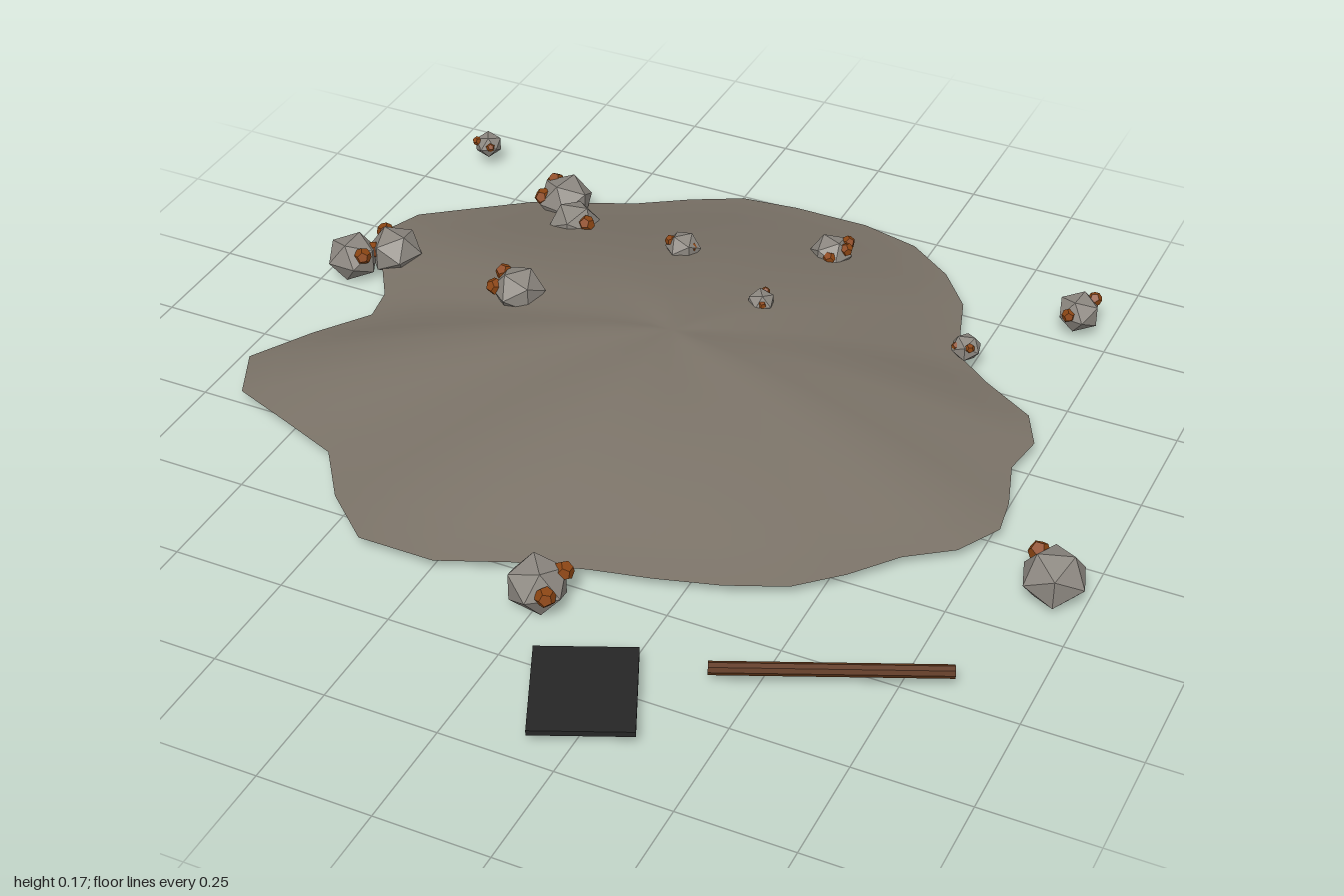
import * as THREE from 'three';

const mat = (name, color, extra = {}) => {
  const m = new THREE.MeshStandardMaterial({ color, ...extra });
  m.name = name;
  return m;
};

// Ragged rim of the spoil heap as [x, z], running round from the back
const RIM = [
  [-0.23, -0.95], [-0.1, -0.965], [0.08, -0.965], [0.22, -0.93], [0.33, -0.85], [0.41, -0.75],
  [0.47, -0.56], [0.56, -0.49], [0.69, -0.41], [0.735, -0.32], [0.72, -0.22], [0.757, -0.1],
  [0.77, -0.01], [0.715, 0.09], [0.62, 0.16], [0.54, 0.26], [0.45, 0.345], [0.325, 0.4],
  [0.19, 0.44], [0.06, 0.47], [-0.09, 0.515], [-0.24, 0.58], [-0.415, 0.58], [-0.53, 0.48],
  [-0.62, 0.355], [-0.76, 0.3], [-0.905, 0.245], [-0.96, 0.125], [-0.88, -0.015], [-0.795, -0.135],
  [-0.81, -0.22], [-0.88, -0.33], [-0.95, -0.44], [-0.905, -0.55], [-0.8, -0.63], [-0.68, -0.72],
  [-0.46, -0.815], [-0.345, -0.89],
];

// Open mound: rings shrink from the rim to the crown, with faint radial folds
function moundGeometry() {
  const cx = -0.08, cz = -0.22, rings = 14, n = RIM.length;
  const pos = [cx, 0.153, cz], index = [];
  for (let r = 1; r <= rings; r++) {
    const t = r / rings;
    RIM.forEach(([x, z]) => {
      const a = Math.atan2(z - cz, x - cx);
      const fold = 0.004 * (Math.sin(3 * a + 1) + Math.sin(5 * a)) * Math.min(1, t * 5) * (1 - t);
      const y = 0.035 + 0.118 * Math.pow(1 - t * t, 1.25) + fold;
      pos.push(cx + (x - cx) * t, y, cz + (z - cz) * t);
    });
  }
  for (let i = 0; i < n; i++) {
    const j = (i + 1) % n;
    index.push(0, 1 + j, 1 + i);
    for (let r = 0; r < rings - 1; r++) {
      const a = 1 + r * n + i, b = 1 + r * n + j;
      index.push(a, b, a + n, b, b + n, a + n);
    }
  }
  const g = new THREE.BufferGeometry();
  g.setAttribute('position', new THREE.Float32BufferAttribute(pos, 3));
  g.setIndex(index);
  g.computeVertexNormals();
  return g;
}

// Rocks: x, y, z, radius, then the [dx, dz] of each ore nugget
const ROCKS = [
  [-0.6, 0.06, -0.73, 0.067, [-0.04, -0.025], [-0.045, 0.03]],
  [-0.53, 0.065, -0.635, 0.062, [0.045, 0.022]],
  [-0.885, 0.062, -0.87, 0.035, [-0.022, 0.018], [0.016, 0.02]],
  [-0.215, 0.125, -0.57, 0.042, [-0.027, 0.01], [0.022, 0.004]],
  [0.08, 0.085, -0.75, 0.05, [0.038, 0], [0.01, 0.034], [0.03, -0.03]],
  [0.67, 0.065, -0.795, 0.052, [0.025, -0.035], [-0.012, 0.036]],
  [0.49, 0.068, -0.55, 0.036, [0.015, 0.02], [-0.018, 0.015]],
  [0.045, 0.138, -0.425, 0.033, [0, -0.024], [0.01, 0.018]],
  [-0.475, 0.128, -0.25, 0.062, [-0.045, -0.017], [-0.047, 0.025]],
  [-0.86, 0.06, -0.36, 0.065, [-0.04, -0.027], [-0.035, 0.035]],
  [-0.935, 0.06, -0.295, 0.063, [0.04, 0.022]],
  [0.93, 0.06, 0.115, 0.073, [-0.045, -0.03]],
  [0, 0.06, 0.58, 0.07, [0.045, -0.03], [0.04, 0.042]],
];

export function createModel() {
  const soil = mat('soil', 0x7a7267, { side: THREE.DoubleSide });
  const stone = mat('stone', 0x8c8780, { flatShading: true });
  const ore = mat('rustyOre', 0x8b4513, { flatShading: true });
  const wood = mat('wood', 0x5c3317, { flatShading: true });
  const iron = mat('darkIron', 0x262626);

  const model = new THREE.Group();
  const add = (name, geometry, material, parent = model) => {
    const mesh = new THREE.Mesh(geometry, material);
    mesh.name = name;
    parent.add(mesh);
    return mesh;
  };

  add('spoilHeap', moundGeometry(), soil);

  // Scattered rocks with ore nuggets stuck to their sides
  const rockGeo = new THREE.IcosahedronGeometry(1, 0);
  const nuggetGeo = new THREE.DodecahedronGeometry(1, 0);
  ROCKS.forEach(([x, y, z, r, ...nuggets], i) => {
    const group = new THREE.Group();
    group.name = 'oreRock';
    group.position.set(x, y, z);
    model.add(group);
    const rock = add('rock', rockGeo, stone, group);
    rock.scale.set(r, r * 0.88, r);
    rock.rotation.y = 1.4 + i * 1.9;
    nuggets.forEach(([dx, dz], k) => {
      const nugget = add('oreNugget', nuggetGeo, ore, group);
      nugget.scale.setScalar(r * 0.32);
      nugget.position.set(dx, r * (k % 2 ? 0.15 : 0.38), dz);
      nugget.rotation.set(i, k, i + k);
    });
  });

  // Discarded shovel: loose handle and flat blade lying at the same angle
  const handle = add('shovelHandle', new THREE.CylinderGeometry(0.014, 0.014, 0.48, 8).rotateZ(Math.PI / 2), wood);
  handle.position.set(0.63, 0.05, 0.557);
  handle.rotation.y = 0.42;
  const blade = add('shovelBlade', new THREE.BoxGeometry(0.21, 0.012, 0.245), iron);
  blade.position.set(0.215, 0.036, 0.803);
  blade.rotation.y = 0.42;

  return model;
}
